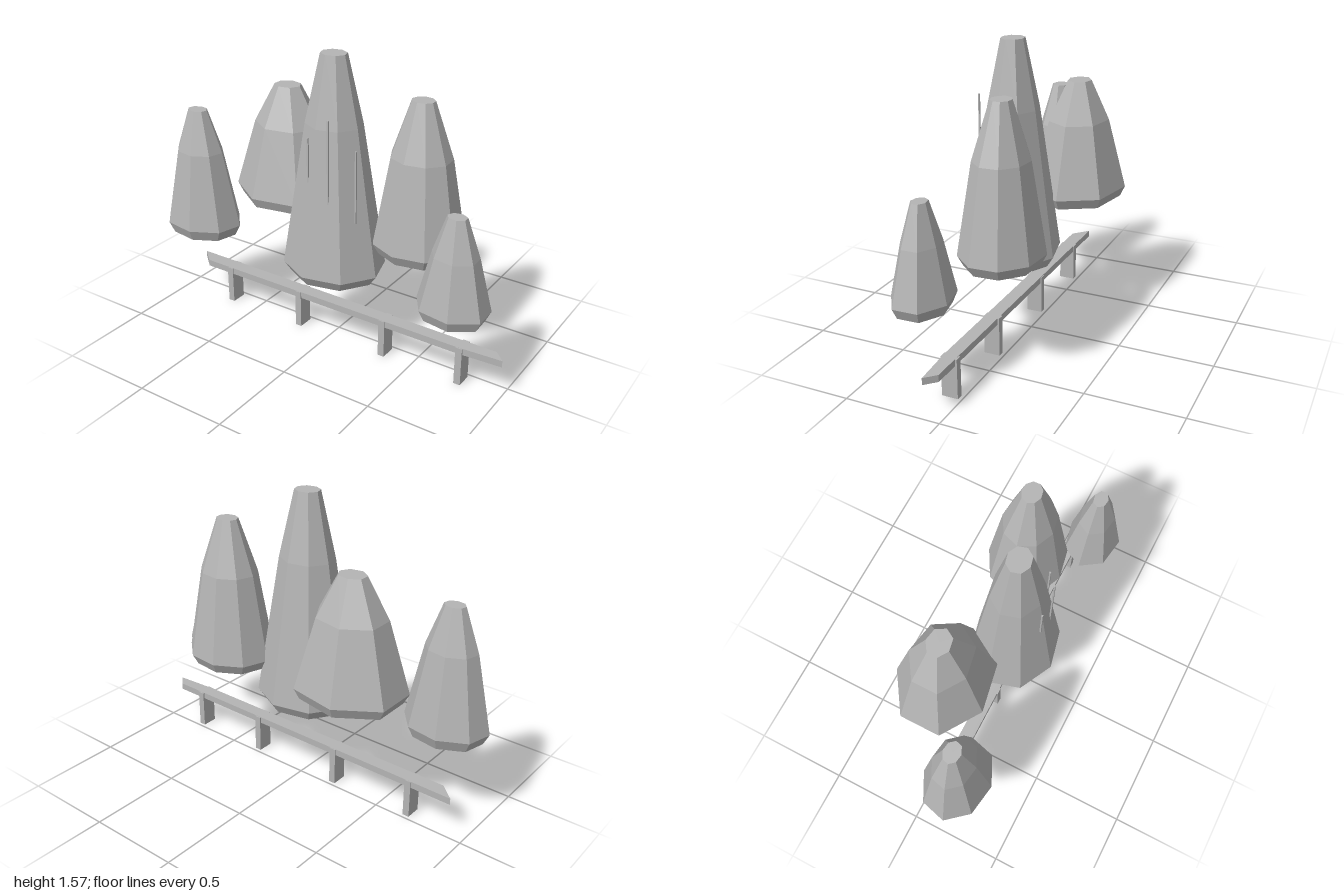
import * as THREE from 'three';

const grey = new THREE.MeshStandardMaterial({ color: 0xb4b4b4 });
grey.name = 'plainGrey';

// Faceted tapering crown: rings of [y, radius], flattened in depth.
// phase is the angle of the first corner in the x-z plane, in degrees.
function crown(name, x, z, sides, phase, depth, rings) {
  const pos = [];
  const corner = (ring, i) => {
    const a = THREE.MathUtils.degToRad(phase) + (i / sides) * Math.PI * 2;
    return [x + Math.cos(a) * ring[1], ring[0], z + Math.sin(a) * ring[1] * depth];
  };
  const closed = [[rings[0][0], 0], ...rings, [rings[rings.length - 1][0], 0]];
  for (let r = 0; r < closed.length - 1; r++) {
    for (let i = 0; i < sides; i++) {
      const a = corner(closed[r], i), b = corner(closed[r], i + 1);
      const c = corner(closed[r + 1], i + 1), d = corner(closed[r + 1], i);
      if (r < closed.length - 2) pos.push(...a, ...d, ...c);
      if (r > 0) pos.push(...a, ...c, ...b);
    }
  }
  const geo = new THREE.BufferGeometry();
  geo.setAttribute('position', new THREE.Float32BufferAttribute(pos, 3));
  geo.computeVertexNormals();
  const mesh = new THREE.Mesh(geo, grey);
  mesh.name = name;
  return mesh;
}

// Box given by its lower and upper corners
function box(name, min, max) {
  const size = max.map((v, i) => v - min[i]);
  const mesh = new THREE.Mesh(new THREE.BoxGeometry(...size), grey);
  mesh.position.set(...min.map((v, i) => (v + max[i]) / 2));
  mesh.name = name;
  return mesh;
}

export function createModel() {
  const model = new THREE.Group();
  model.name = 'treesAndRail';

  // Five crowns
  model.add(
    crown('rightOuterCrown', -0.78, 0.168, 8, -11, 0.78, [[0.46, 0.195], [0.52, 0.226], [0.93, 0.137], [1.155, 0.056]]),
    crown('rightInnerCrown', -0.388, -0.103, 7, 0, 0.83, [[0.655, 0.275], [0.71, 0.305], [1.08, 0.19], [1.29, 0.075]]),
    crown('centreCrown', 0.028, 0.085, 8, 8, 0.87, [[0.405, 0.234], [0.46, 0.274], [1.22, 0.15], [1.57, 0.069]]),
    crown('leftInnerCrown', 0.44, -0.052, 9, 17, 0.86, [[0.575, 0.212], [0.63, 0.245], [1.09, 0.16], [1.375, 0.06]]),
    crown('leftOuterCrown', 0.77, 0.197, 7, 24, 0.78, [[0.435, 0.162], [0.49, 0.19], [0.76, 0.12], [0.96, 0.05]]),
  );

  // Long rail with slanted ends, extruded upward from its plan outline
  const plan = [[-0.915, 0.024], [0.94, 0.03], [0.995, 0.085], [0.76, 0.1], [-0.83, 0.1]];
  const shape = new THREE.Shape(plan.map(([x, z]) => new THREE.Vector2(x, -z)));
  const railGeo = new THREE.ExtrudeGeometry(shape, { depth: 0.036, bevelEnabled: false });
  railGeo.rotateX(-Math.PI / 2).translate(0, 0.175, 0);
  const rail = new THREE.Mesh(railGeo, grey);
  rail.name = 'rail';
  model.add(rail);

  // Posts under the rail
  for (const x of [-0.67, -0.197, 0.33, 0.772]) {
    model.add(box('railPost', [x - 0.018, 0, 0.02], [x + 0.018, 0.21, 0.105]));
  }

  // Thin twigs standing against the crowns
  for (const [x, z, low, high] of [[-0.02, 0.24, 0.95, 1.18], [0.097, 0.24, 0.86, 1.29], [0.21, 0.17, 0.76, 1.14]]) {
    model.add(box('twig', [x - 0.004, low, z - 0.004], [x + 0.004, high, z + 0.004]));
  }
  return model;
}
